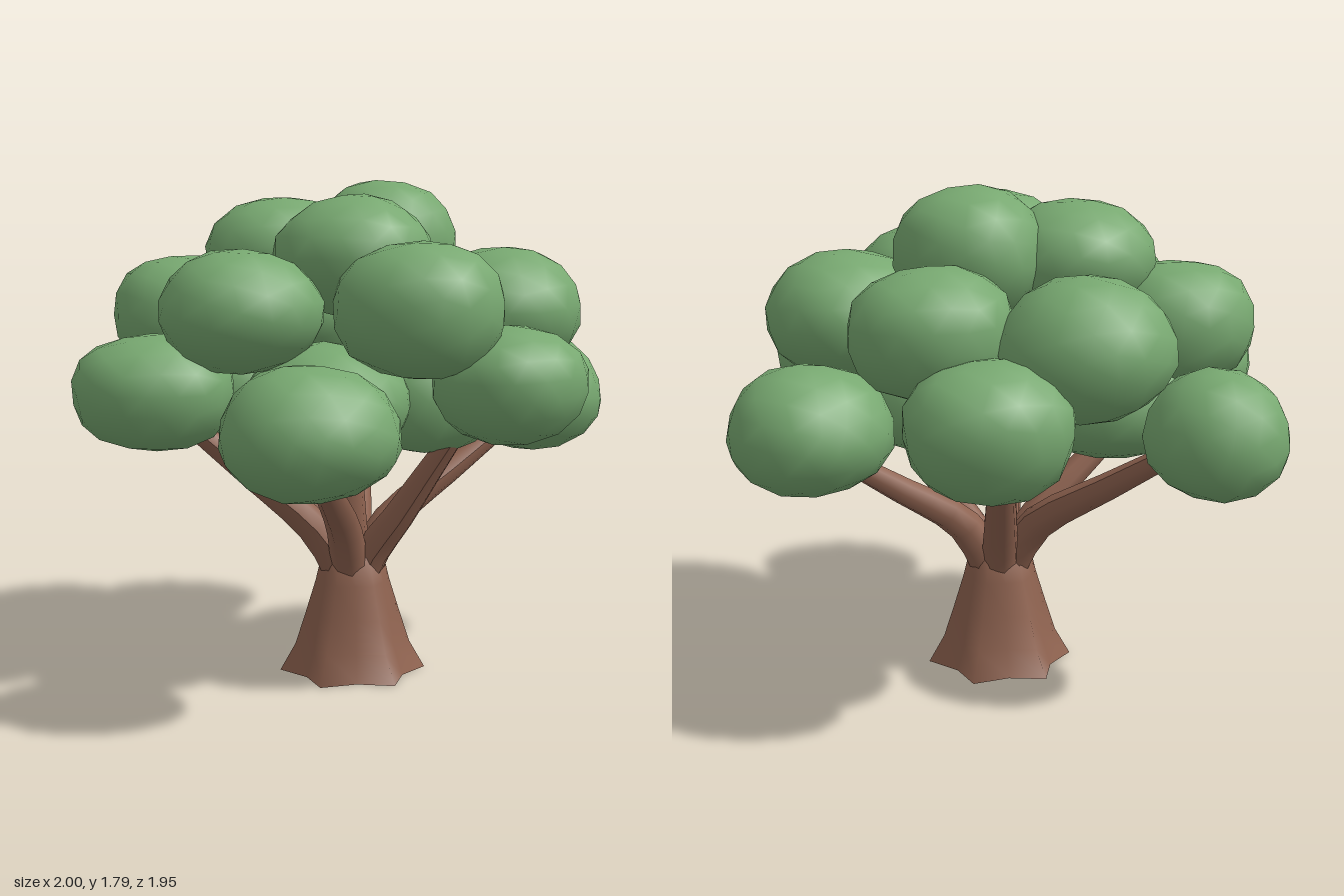
import * as THREE from 'three';
import { mergeVertices } from 'three/addons/utils/BufferGeometryUtils.js';

const leafGreen = new THREE.MeshStandardMaterial({ color: 0x78a971 });
leafGreen.name = 'leaf green';
// The trunk is an open shell, so bark shows from both sides
const barkBrown = new THREE.MeshStandardMaterial({ color: 0x8f6350, side: THREE.DoubleSide });
barkBrown.name = 'bark brown';

// Leaf clumps: centre x, y, z, then half width, half height, half depth
const CLUMPS = [
  // low outer ring
  [-0.59, 0.99, -0.62, 0.25, 0.22, 0.25],
  [0.22, 1.09, -0.71, 0.275, 0.23, 0.275],
  [0.72, 0.99, -0.21, 0.28, 0.22, 0.29],
  [0.48, 1.10, 0.39, 0.275, 0.20, 0.265],
  [-0.26, 0.99, 0.69, 0.29, 0.22, 0.29],
  [-0.72, 1.07, 0.14, 0.285, 0.205, 0.285],
  // middle ring
  [-0.13, 1.31, -0.61, 0.30, 0.235, 0.295],
  [0.34, 1.35, -0.43, 0.275, 0.22, 0.265],
  [0.53, 1.33, 0.05, 0.29, 0.225, 0.30],
  [0.155, 1.36, 0.41, 0.30, 0.23, 0.295],
  [-0.43, 1.35, 0.26, 0.285, 0.215, 0.275],
  [-0.58, 1.31, -0.23, 0.265, 0.215, 0.295],
  // crown
  [-0.02, 1.53, 0.15, 0.28, 0.21, 0.25],
  [0.15, 1.57, -0.17, 0.26, 0.22, 0.27],
  [-0.24, 1.53, -0.15, 0.27, 0.21, 0.275],
  // inner filling
  [0.24, 1.03, 0.08, 0.29, 0.21, 0.29],
  [-0.13, 1.03, 0.26, 0.29, 0.21, 0.29],
  [-0.36, 1.04, -0.22, 0.29, 0.21, 0.29],
];

// Branches: the tip of each, inside a low clump
const TIPS = [
  [-0.50, 0.92, -0.52],
  [0.12, 0.98, -0.50],
  [0.62, 0.88, -0.17],
  [0.34, 0.94, 0.26],
  [-0.23, 0.89, 0.61],
  [-0.60, 0.95, 0.11],
  [-0.02, 0.95, 0.05],
];

// Slightly pillowed, lumpy ball with shared vertices for smooth shading
function clumpGeometry(seed) {
  let geo = new THREE.IcosahedronGeometry(1, 2);
  geo.deleteAttribute('normal');
  geo.deleteAttribute('uv');
  geo = mergeVertices(geo, 1e-3);
  geo.rotateX(seed * 1.3);
  geo.rotateY(seed * 2.1);
  const p = geo.attributes.position;
  const v = new THREE.Vector3();
  for (let i = 0; i < p.count; i++) {
    v.fromBufferAttribute(p, i);
    const bump = Math.sin(v.x * 4 + seed * 2) + Math.sin(v.y * 5 + seed * 3) + Math.sin(v.z * 4.5 + seed * 5);
    const pillow = (Math.hypot(v.x, v.z) ** 2.2 + Math.abs(v.y) ** 2.2) ** (-1 / 2.2);
    v.multiplyScalar(pillow * (1 + 0.018 * bump));
    p.setXYZ(i, v.x, v.y, v.z);
  }
  return geo;
}

// Tapered tube that leaves the trunk steeply, bends, then runs straight to its tip
function branchGeometry(tip) {
  const end = new THREE.Vector3(...tip);
  const reach = Math.hypot(end.x, end.z);
  const spread = Math.min(1, reach / 0.25) / reach;
  const at = (r, y) => new THREE.Vector3(end.x * r * spread, y, end.z * r * spread);
  const bend = at(0.17, 0.57);
  const path = new THREE.CatmullRomCurve3([at(0.04, 0.38), at(0.09, 0.47), bend, bend.clone().lerp(end, 0.5), end]);
  const rings = 8, sides = 8;
  const geo = new THREE.TubeGeometry(path, rings, 1, sides, false);
  const p = geo.attributes.position;
  const v = new THREE.Vector3();
  for (let i = 0; i < p.count; i++) {
    const t = Math.floor(i / (sides + 1)) / rings;
    const centre = path.getPointAt(t);
    v.fromBufferAttribute(p, i).sub(centre).multiplyScalar(0.072 - 0.036 * t).add(centre);
    p.setXYZ(i, v.x, v.y, v.z);
  }
  geo.computeVertexNormals();
  return geo;
}

// Flared trunk, open below, with six root ridges that fade upwards
function trunkGeometry() {
  const profile = [[0.235, 0], [0.19, 0.1], [0.16, 0.22], [0.13, 0.34], [0.11, 0.44], [0.06, 0.47], [0, 0.48]];
  let geo = new THREE.LatheGeometry(profile.map(([r, y]) => new THREE.Vector2(r, y)), 12);
  geo.deleteAttribute('normal');
  geo.deleteAttribute('uv');
  geo = mergeVertices(geo, 1e-4);
  const p = geo.attributes.position;
  for (let i = 0; i < p.count; i++) {
    const x = p.getX(i), y = p.getY(i), z = p.getZ(i);
    const k = 1 + 0.14 * Math.max(0, 1 - y / 0.5) * Math.cos(6 * Math.atan2(z, x));
    p.setXYZ(i, x * k, y, z * k);
  }
  geo.rotateY(-0.09);
  geo.computeVertexNormals();
  return geo;
}

export function createModel() {
  const tree = new THREE.Group();
  tree.name = 'tree';
  const add = (parent, name, geo, mat) => {
    const mesh = new THREE.Mesh(geo, mat);
    mesh.name = name;
    parent.add(mesh);
  };

  add(tree, 'trunk', trunkGeometry(), barkBrown);

  const branches = new THREE.Group();
  branches.name = 'branches';
  TIPS.forEach((tip, i) => add(branches, `branch${i + 1}`, branchGeometry(tip), barkBrown));
  tree.add(branches);

  const foliage = new THREE.Group();
  foliage.name = 'foliage';
  CLUMPS.forEach(([x, y, z, w, h, d], i) => {
    const geo = clumpGeometry(i + 1);
    geo.scale(w, h, d);
    geo.translate(x, y, z);
    geo.computeVertexNormals();
    add(foliage, `leafClump${i + 1}`, geo, leafGreen);
  });
  tree.add(foliage);
  return tree;
}
